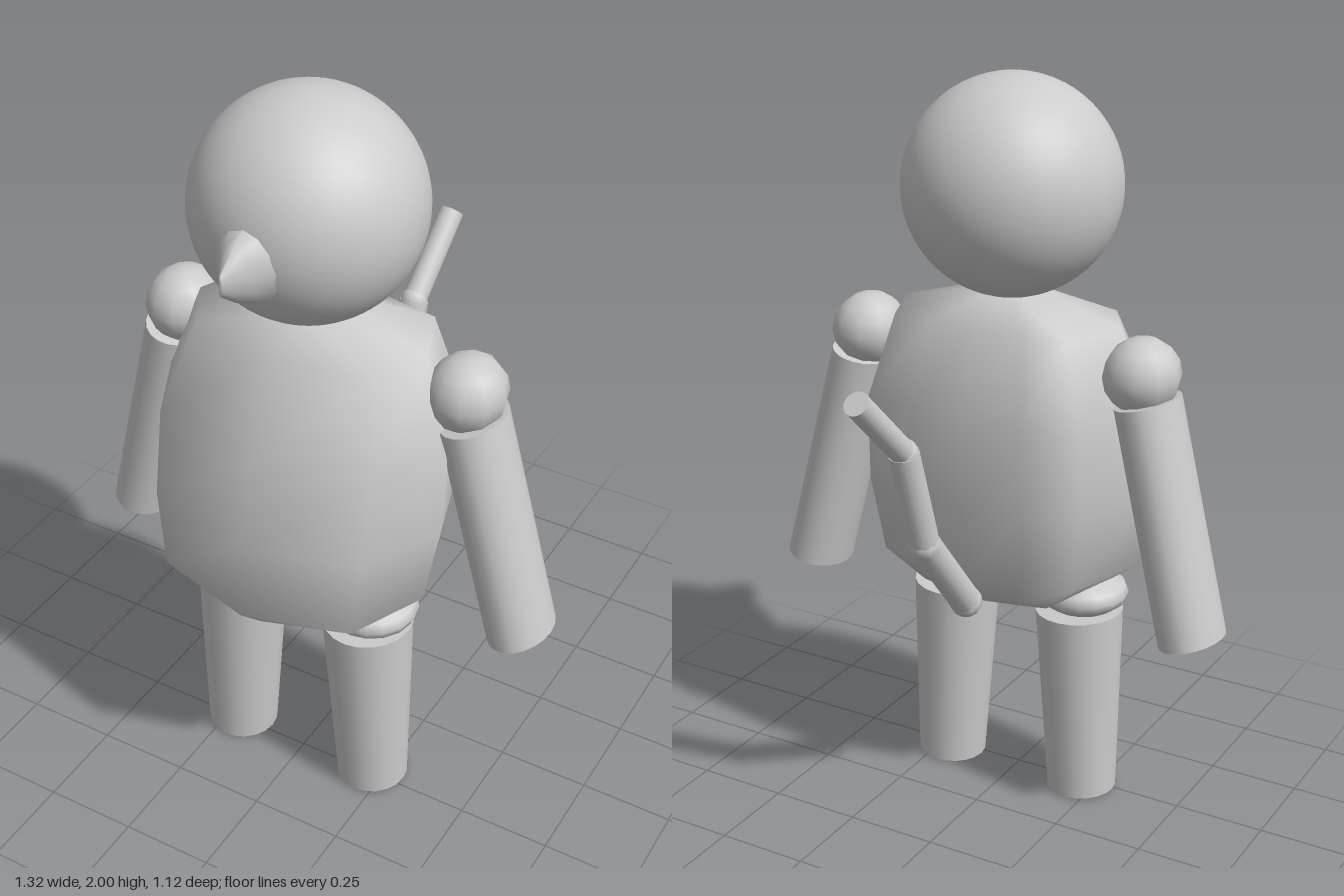
import * as THREE from 'three';

const grey = new THREE.MeshStandardMaterial({ color: 0xcccccc });

function mesh(name, geometry) {
  const m = new THREE.Mesh(geometry, grey);
  m.name = name;
  return m;
}

// Closed smooth skin over a list of rings, each a list of [x, y, z]
function loft(rings) {
  const n = rings[0].length, pos = rings.flat(2), index = [];
  for (let r = 0; r < rings.length - 1; r++) {
    for (let j = 0; j < n; j++) {
      const k = (j + 1) % n;
      const a = r * n + j, b = r * n + k, c = b + n, d = a + n;
      index.push(a, b, c, a, c, d);
    }
  }
  const last = (rings.length - 1) * n;
  for (let j = 1; j < n - 1; j++) {
    index.push(0, j + 1, j, last, last + j, last + j + 1);
  }
  const g = new THREE.BufferGeometry();
  g.setAttribute('position', new THREE.Float32BufferAttribute(pos, 3));
  g.setIndex(index);
  g.computeVertexNormals();
  return g;
}

function ball(name, [x, y, z], [rx, ry, rz], segs = 12, rows = 8) {
  const g = new THREE.SphereGeometry(1, segs, rows).scale(rx, ry, rz);
  const m = mesh(name, g);
  m.position.set(x, y, z);
  return m;
}

// Tapered cylinder from top to bottom, with its depth stretched
function limb(name, top, bottom, rTop, rBottom, depth = 1) {
  const t = new THREE.Vector3(...top), b = new THREE.Vector3(...bottom);
  const axis = t.clone().sub(b), len = axis.length();
  const g = new THREE.CylinderGeometry(rTop, rBottom, len, 20, 3).scale(1, 1, depth);
  const m = mesh(name, g);
  m.position.copy(t).add(b).multiplyScalar(0.5);
  m.quaternion.setFromUnitVectors(new THREE.Vector3(0, 1, 0), axis.normalize());
  return m;
}

function bodyGeometry() {
  // Half section from front to back: width share, depth share
  const half = [[0, 1], [0.75, 0.87], [1, 0.53], [0.78, 0.1], [0.42, 0.05], [0, 0]];
  const section = [...half, ...half.slice(1, -1).reverse().map(([x, z]) => [-x, z])];
  // Height, half width, back z, front z
  const rows = [
    [0.575, 0.08, 0.12, 0.28], [0.62, 0.24, 0, 0.45], [0.71, 0.365, -0.06, 0.54],
    [0.92, 0.4, -0.09, 0.53], [1.15, 0.4, -0.09, 0.485], [1.38, 0.32, -0.03, 0.37],
    [1.44, 0.06, 0.1, 0.26],
  ];
  return loft(rows.map(([y, w, back, front]) =>
    section.map(([x, z]) => [x * w, y, back + z * (front - back)])));
}

function snoutGeometry() {
  // Depth, half width, half height, narrowing to a thin upright tip
  const rows = [[0.36, 0.16, 0.14], [0.45, 0.085, 0.1], [0.5, 0.045, 0.075], [0.56, 0.005, 0.027]];
  return loft(rows.map(([z, rx, ry]) => Array.from({ length: 12 }, (_, i) => {
    const a = i / 12 * Math.PI * 2;
    return [Math.cos(a) * rx, 1.685 + Math.sin(a) * ry, z];
  })));
}

export function createModel() {
  const model = new THREE.Group();
  model.name = 'figure';

  model.add(ball('head', [0, 1.713, 0.183], [0.287, 0.287, 0.287], 48, 32));
  model.add(mesh('snout', snoutGeometry()));
  model.add(mesh('body', bodyGeometry()));

  // Arms and legs, mirrored
  for (const [side, s] of [['left', 1], ['right', -1]]) {
    model.add(ball(side + 'Shoulder', [s * 0.405, 1.285, 0.13], [0.1, 0.1, 0.11], 10, 8));
    model.add(limb(side + 'Arm', [s * 0.423, 1.22, 0.13], [s * 0.579, 0.598, 0.115], 0.083, 0.085, 1.28));
    model.add(ball(side + 'Hip', [s * 0.203, 0.605, 0.23], [0.125, 0.06, 0.125], 16, 8));
    model.add(limb(side + 'Leg', [s * 0.193, 0.55, 0.23], [s * 0.212, 0.004, 0.23], 0.12, 0.096, 1.02));
  }

  // Three-part tail with ball joints
  const tail = new THREE.Group();
  tail.name = 'tail';
  const joints = [[-0.005, 0.645, -0.065], [0, 0.88, -0.26], [0.005, 1.155, -0.345], [0.015, 1.34, -0.533]];
  const jointRadii = [0.044, 0.043, 0.038];
  const radii = [0.041, 0.039, 0.033];
  for (let i = 0; i < 3; i++) {
    tail.add(ball('tailJoint', joints[i], Array(3).fill(jointRadii[i]), 10, 8));
    tail.add(limb('tailSegment', joints[i + 1], joints[i], radii[i], radii[i]));
  }
  model.add(tail);
  return model;
}
